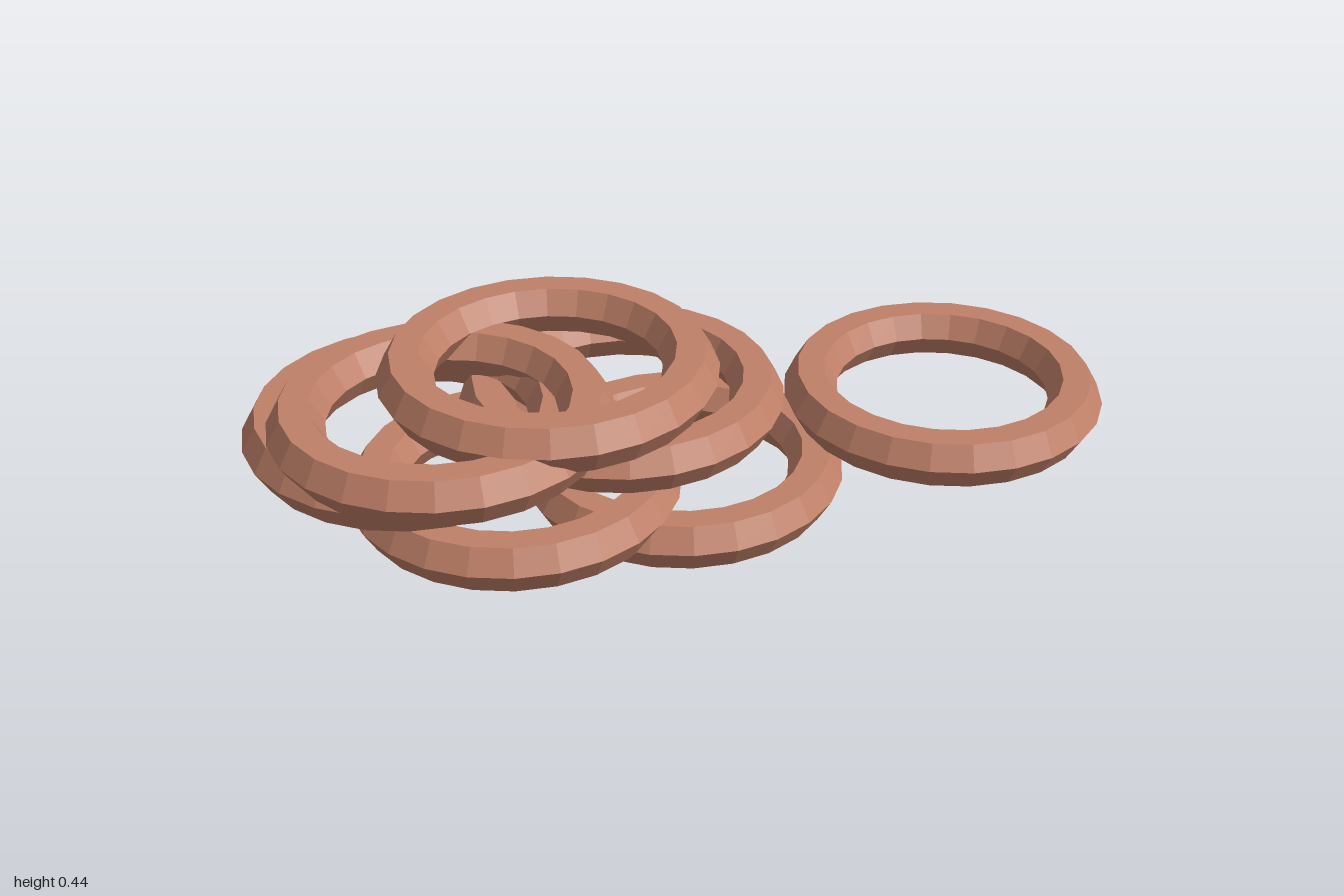
import * as THREE from 'three';

const TUBE = 0.063;
const RADIUS = 0.312;
const HALF_HEIGHT = TUBE * Math.sin(Math.PI / 3);

// Ring centres (x, z), from the lowest ring to the highest
const CENTRES = [
  [-0.015, 0.015],
  [-0.42, 0.042],
  [0.62, 0.067],
  [-0.128, -0.077],
  [-0.623, -0.01],
  [-0.578, 0.075],
  [-0.332, 0.045],
];

export function createModel() {
  const group = new THREE.Group();
  group.name = 'ringPile';

  // One faceted ring with a hexagonal section, lying flat
  const geometry = new THREE.TorusGeometry(RADIUS, TUBE, 6, 24);
  geometry.rotateX(-Math.PI / 2);
  const material = new THREE.MeshStandardMaterial({ color: 0xc08068, flatShading: true });

  // Each ring sits half a ring height above the one before
  CENTRES.forEach(([x, z], i) => {
    const ring = new THREE.Mesh(geometry, material);
    ring.name = `ring${i + 1}`;
    ring.position.set(x, HALF_HEIGHT * (i + 1), z);
    group.add(ring);
  });

  return group;
}
